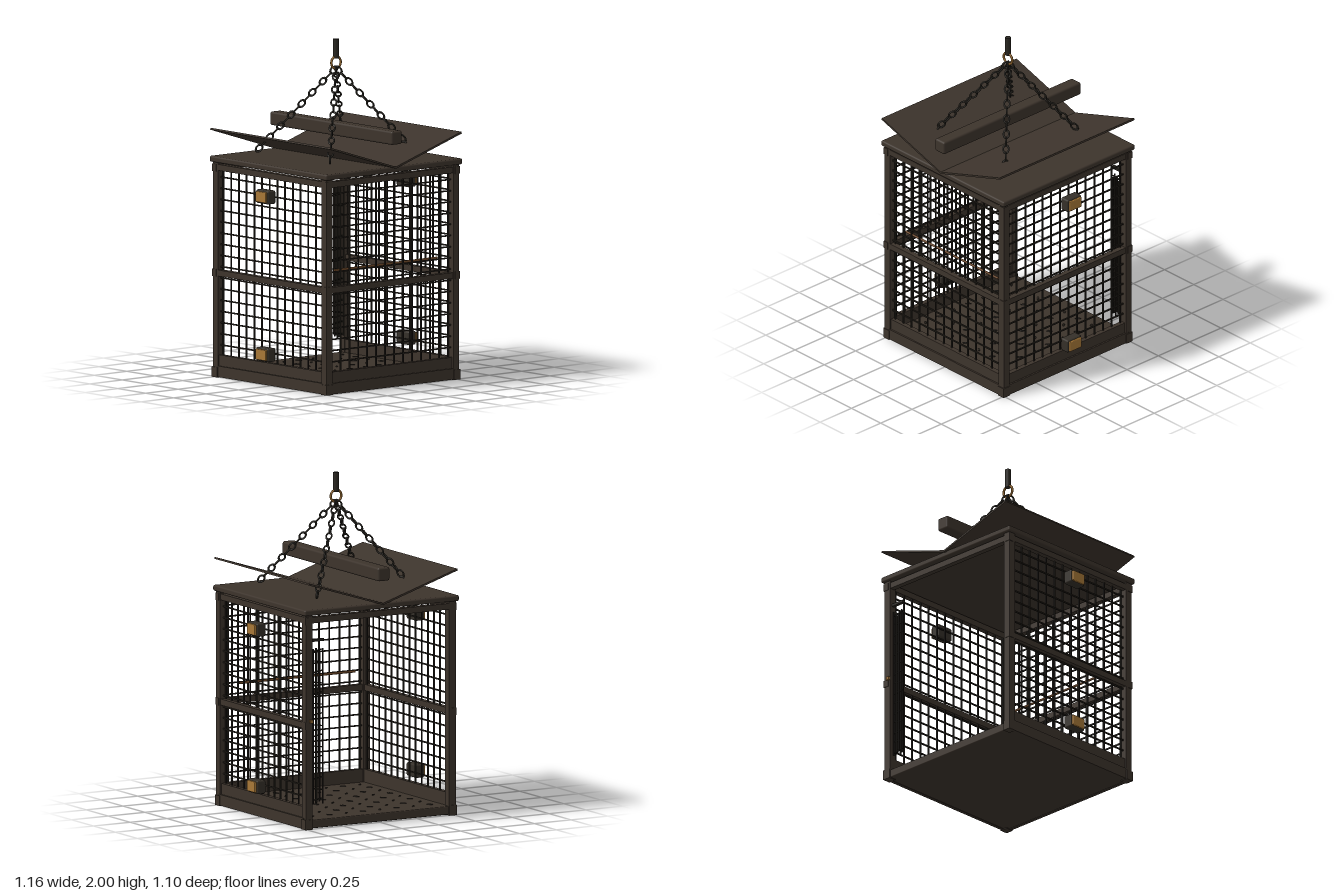
import * as THREE from 'three';
import { RoundedBoxGeometry } from 'three/addons/geometries/RoundedBoxGeometry.js';

const material = (name, color) => {
  const m = new THREE.MeshStandardMaterial({ color });
  m.name = name;
  return m;
};

export function createModel() {
  const frame = material('dark bronze', 0x3d342c);
  const wire = material('black iron', 0x25211b);
  const iron = material('chain iron', 0x2b2822);
  const housing = material('lamp housing', 0x353029);
  const amber = material('amber lens', 0xa87837);
  const brass = material('brass', 0x94682f);
  const wood = material('perch wood', 0x6a4526);

  const model = new THREE.Group();
  model.name = 'hangingCage';

  const add = (parent, name, geometry, mat, x = 0, y = 0, z = 0) => {
    const mesh = new THREE.Mesh(geometry, mat);
    mesh.name = name;
    mesh.position.set(x, y, z);
    parent.add(mesh);
    return mesh;
  };
  const box = (parent, name, mat, w, h, d, x, y, z) =>
    add(parent, name, new THREE.BoxGeometry(w, h, d), mat, x, y, z);
  const rounded = (parent, name, mat, w, h, d, x, y, z, r = 0.006) =>
    add(parent, name, new RoundedBoxGeometry(w, h, d, 2, r), mat, x, y, z);

  // Floor plate with raised tread marks
  rounded(model, 'floorPlate', frame, 1.01, 0.05, 1.01, 0, 0.03, 0);
  const tread = new THREE.Group();
  tread.name = 'floorTread';
  model.add(tread);
  const mark = new THREE.SphereGeometry(1, 8, 4).scale(0.02, 0.005, 0.007);
  for (let i = 0; i < 8; i++) {
    for (let j = 0; j < 8; j++) {
      const m = add(tread, 'treadMark', mark, wire, -0.4 + i * 0.114, 0.056, -0.4 + j * 0.114);
      m.rotation.y = (i + j) % 2 ? Math.PI / 4 : -Math.PI / 4;
    }
  }

  // Corner posts with joint blocks and feet
  for (const x of [-1, 1]) {
    for (const z of [-1, 1]) {
      box(model, 'cornerPost', frame, 0.045, 1.27, 0.045, x * 0.487, 0.64, z * 0.487);
      for (const y of [0.615, 1.235]) {
        box(model, 'jointBlock', frame, 0.034, 0.044, 0.034, x * 0.496, y, z * 0.496);
      }
      box(model, 'foot', frame, 0.05, 0.06, 0.05, x * 0.49, 0.03, z * 0.49);
    }
  }

  // Mesh walls: front, left and right; the back is the open doorway
  const wall = (name, angle) => {
    const g = new THREE.Group();
    g.name = name;
    g.rotation.y = angle;
    model.add(g);
    box(g, 'kickBoard', frame, 0.95, 0.085, 0.03, 0, 0.09, 0.485);
    box(g, 'baseRail', frame, 0.97, 0.065, 0.02, 0, 0.035, 0.5);
    box(g, 'middleRail', frame, 0.95, 0.036, 0.034, 0, 0.615, 0.49);
    box(g, 'topRail', frame, 0.95, 0.036, 0.034, 0, 1.238, 0.49);
    for (let i = 0; i < 14; i++) {
      box(g, 'verticalWire', wire, 0.008, 1.1, 0.008, -0.448 + i * 0.0689, 0.675, 0.48);
    }
    for (let i = 0; i < 16; i++) {
      box(g, 'horizontalWire', wire, 0.94, 0.008, 0.008, 0, 0.19 + i * 0.066, 0.486);
    }
  };
  wall('frontWall', 0);
  wall('leftWall', Math.PI / 2);
  wall('rightWall', -Math.PI / 2);
  box(model, 'backTopRail', frame, 0.95, 0.036, 0.034, 0, 1.238, -0.49);

  // Folded mesh door gathered beside the doorway
  const door = new THREE.Group();
  door.name = 'foldedDoor';
  model.add(door);
  for (let i = 0; i < 8; i++) {
    const z = -0.485 + (i % 2 ? 0.014 : -0.008);
    const h = 0.92 - (i % 3) * 0.02;
    box(door, 'doorBar', wire, 0.006, h, 0.009, 0.385 + i * 0.0108, 0.605, z);
  }
  for (let i = 0; i < 15; i++) {
    const w = box(door, 'doorCrossWire', wire, 0.08, 0.006, 0.009, 0.423, 0.17 + i * 0.063, -0.482);
    w.rotation.z = i % 2 ? 0.15 : -0.15;
  }
  box(door, 'doorTopBar', wire, 0.09, 0.015, 0.02, 0.423, 1.115, -0.485);
  box(door, 'doorLatch', brass, 0.02, 0.02, 0.02, 0.475, 0.64, -0.513);

  // Perch just behind the front wall
  const perch = add(model, 'perch', new THREE.CylinderGeometry(0.007, 0.007, 0.79, 10), wood, 0, 0.72, 0.445);
  perch.rotation.z = Math.PI / 2;

  // Side lamps
  for (const s of [-1, 1]) {
    for (const y of [0.19, 1.12]) {
      const lamp = new THREE.Group();
      lamp.name = 'sideLamp';
      lamp.position.set(s * 0.54, y, 0);
      model.add(lamp);
      rounded(lamp, 'lampHousing', housing, 0.06, 0.08, 0.112, 0, 0, 0, 0.01);
      rounded(lamp, 'lampLens', amber, 0.022, 0.064, 0.094, s * 0.03, 0, 0, 0.005);
    }
  }

  // Roof slab, two upswept panels and ridge beam
  rounded(model, 'roofSlab', frame, 1.05, 0.035, 1.05, 0, 1.285, 0, 0.01);
  const slope = Math.atan2(0.16, 0.505);
  for (const s of [-1, 1]) {
    const panel = box(model, 'roofPanel', frame, 0.53, 0.011, 1.075, s * 0.2525, 1.378, 0);
    panel.rotation.z = s * slope;
  }
  rounded(model, 'ridgeBeam', frame, 0.08, 0.08, 1.095, 0, 1.475, 0, 0.012);

  // Suspension rod and ring
  add(model, 'hangingRod', new THREE.CylinderGeometry(0.017, 0.017, 0.115, 12), iron, 0, 1.9425, 0);
  add(model, 'hangingRing', new THREE.TorusGeometry(0.036, 0.007, 8, 24), brass, 0, 1.86, 0);

  // Four chains of alternating links
  const link = new THREE.TorusGeometry(0.0165, 0.0052, 6, 14).scale(1, 1.4, 1);
  const links = 15;
  for (const x of [-1, 1]) {
    for (const z of [-1, 1]) {
      const top = new THREE.Vector3(x * 0.01, 1.815, z * 0.01);
      const end = new THREE.Vector3(x * 0.318, 1.35, z * 0.318);
      const chain = new THREE.Group();
      chain.name = 'chain';
      chain.position.copy(top);
      const span = end.clone().sub(top);
      // Local y runs down the chain, local z lies level
      const dir = span.clone().normalize();
      const side = new THREE.Vector3(-z, 0, x).normalize();
      const across = new THREE.Vector3().crossVectors(dir, side);
      chain.quaternion.setFromRotationMatrix(new THREE.Matrix4().makeBasis(across, dir, side));
      model.add(chain);
      for (let i = 0; i < links; i++) {
        const l = add(chain, 'chainLink', link, iron, 0, (span.length() * i) / (links - 1), 0);
        l.rotation.y = i % 2 ? Math.PI / 2 : 0;
      }
    }
  }
  return model;
}
